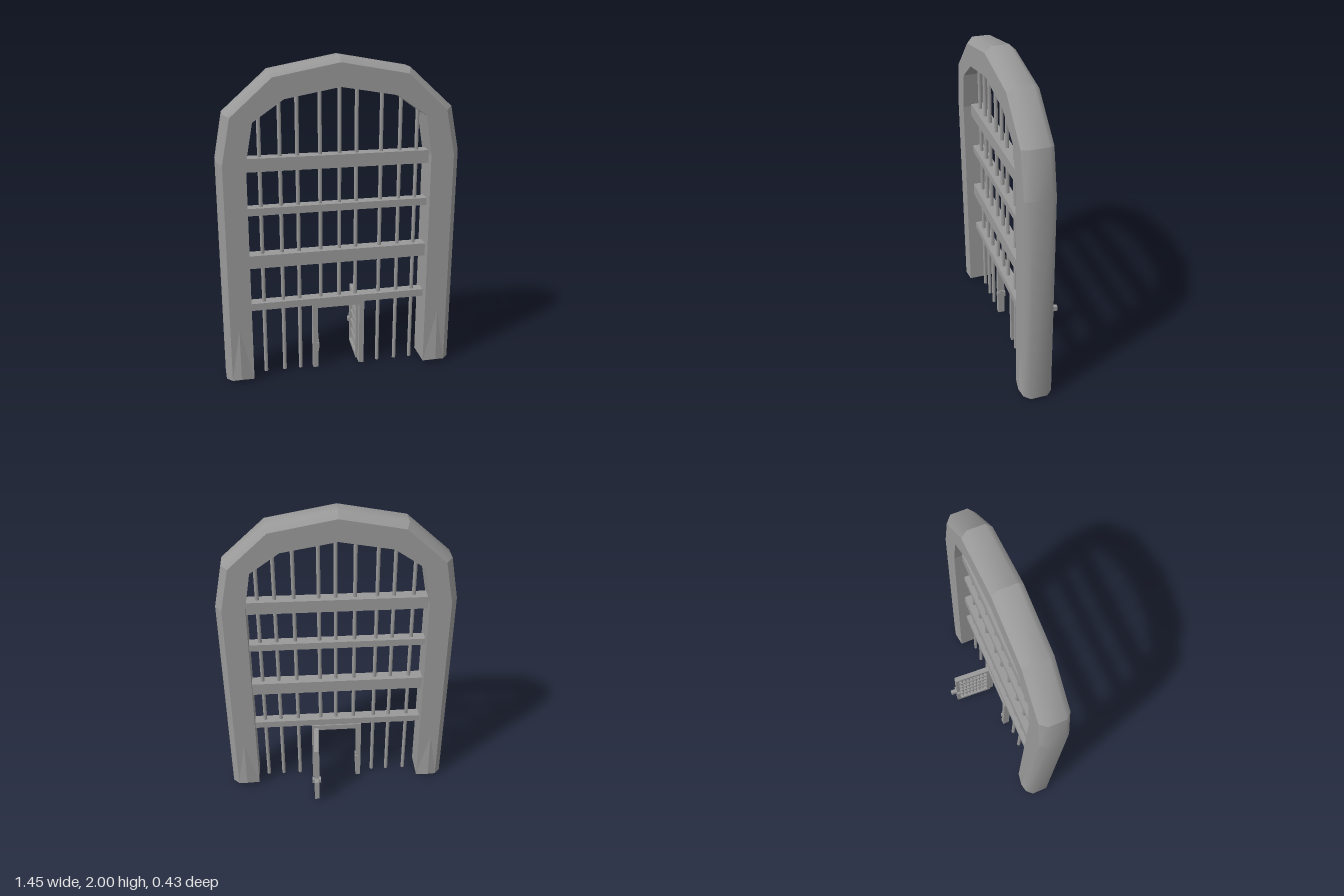
import * as THREE from 'three';
import { ConvexGeometry } from 'three/addons/geometries/ConvexGeometry.js';

const iron = new THREE.MeshStandardMaterial({ color: 0x999999 });
iron.name = 'grey iron';

function add(parent, name, geometry, x = 0, y = 0, z = 0) {
  const mesh = new THREE.Mesh(geometry, iron);
  mesh.name = name;
  mesh.position.set(x, y, z);
  parent.add(mesh);
  return mesh;
}

// Box given by its minimum and maximum corners
function box(parent, name, [x0, y0, z0], [x1, y1, z1]) {
  return add(parent, name, new THREE.BoxGeometry(x1 - x0, y1 - y0, z1 - z0),
    (x0 + x1) / 2, (y0 + y1) / 2, (z0 + z1) / 2);
}

function rod(parent, name, x, y0, y1, z, radius) {
  return add(parent, name, new THREE.CylinderGeometry(radius, radius, y1 - y0, 8), x, (y0 + y1) / 2, z);
}

// Arch stations from the left foot over the crown to the right foot
const outer = [[-0.8, 0.02], [-0.8, 1.42], [-0.75, 1.69], [-0.485, 1.925], [-0.08, 2],
  [0.335, 1.925], [0.595, 1.69], [0.65, 1.42], [0.65, 0.02]];
const bevel = [[-0.765, 0.02], [-0.765, 1.405], [-0.713, 1.675], [-0.47, 1.892], [-0.08, 1.965],
  [0.32, 1.892], [0.557, 1.675], [0.613, 1.405], [0.613, 0.02]];
const inner = [[-0.63, 0.02], [-0.63, 1.41], [-0.587, 1.645], [-0.405, 1.77], [-0.08, 1.828],
  [0.255, 1.77], [0.433, 1.645], [0.472, 1.41], [0.472, 0.02]];
const FRONT = 0.2, BACK = 0.02, MID = 0.11;

function archGeometry() {
  const pos = [], index = [];
  const section = k => [
    [...inner[k], FRONT], [...bevel[k], FRONT], [...outer[k], FRONT - 0.037],
    [...outer[k], BACK + 0.037], [...bevel[k], BACK], [...inner[k], BACK]];
  // Front, rounded rim, back and inside; only the rim shares vertices
  const strips = [[0, 1], [1, 2, 3, 4], [4, 5], [5, 0]];
  for (let k = 0; k < outer.length - 1; k++) {
    const a = section(k), b = section(k + 1);
    for (const strip of strips) {
      const start = pos.length / 3;
      for (const j of strip) pos.push(...a[j], ...b[j]);
      for (let j = 0; j < strip.length - 1; j++) {
        const p = start + 2 * j;
        index.push(p + 2, p, p + 1, p + 2, p + 1, p + 3);
      }
    }
  }
  // Soles of the two legs
  for (const cap of [section(0), section(outer.length - 1).reverse()]) {
    const start = pos.length / 3;
    cap.forEach(p => pos.push(...p));
    for (let j = 1; j < cap.length - 1; j++) index.push(start, start + j, start + j + 1);
  }
  const geometry = new THREE.BufferGeometry();
  geometry.setAttribute('position', new THREE.Float32BufferAttribute(pos, 3));
  geometry.setIndex(index);
  geometry.computeVertexNormals();
  return geometry;
}

// Height of the arch underside at x
function undersideAt(x) {
  for (let k = 1; k < inner.length - 2; k++) {
    const [x0, y0] = inner[k], [x1, y1] = inner[k + 1];
    if (x >= x0 && x <= x1) return y0 + (y1 - y0) * (x - x0) / (x1 - x0);
  }
  return 1.41;
}

export function createModel() {
  const model = new THREE.Group();
  model.name = 'archedGate';

  add(model, 'arch', archGeometry());

  // Shallow flares at the foot of each leg, front and back
  for (const [xIn, xMid, xOut] of [[-0.63, -0.71, -0.765], [0.472, 0.555, 0.613]]) {
    for (const [z, dir] of [[FRONT, 1], [BACK, -1]]) {
      const points = [[xIn, 0.02, z], [xOut, 0.02, z], [xMid, 0.03, z + dir * 0.014], [xMid, 0.37, z]];
      add(model, 'footFlare', new ConvexGeometry(points.map(p => new THREE.Vector3(...p))));
    }
  }

  // Horizontal rails
  for (const [y0, y1, half] of [[1.345, 1.425, 0.04], [1.077, 1.122, 0.035],
    [0.743, 0.825, 0.04], [0.462, 0.508, 0.035]]) {
    box(model, 'rail', [-0.635, y0, MID - half], [0.477, y1, MID + half]);
  }

  // Upright bars; the middle ones stop above the doorway
  for (const x of [-0.545, -0.425, -0.322, -0.187, -0.07, 0.033, 0.184, 0.3, 0.404]) {
    const overDoor = x > -0.24 && x < 0.1;
    rod(model, 'uprightBar', x, overDoor ? 0.46 : 0.018, undersideAt(x) + 0.03, MID, 0.012);
  }

  // Door frame
  const frame = new THREE.Group();
  frame.name = 'doorFrame';
  model.add(frame);
  box(frame, 'leftPost', [-0.238, 0.005, 0.067], [-0.206, 0.462, 0.112]);
  box(frame, 'rightPost', [0.063, 0.005, 0.067], [0.095, 0.462, 0.112]);
  box(frame, 'lintel', [-0.206, 0.425, 0.067], [0.063, 0.462, 0.112]);
  box(frame, 'latchPlate', [-0.21, 0.115, 0.075], [-0.199, 0.195, 0.104]);
  box(frame, 'latchCatch', [-0.222, 0.145, 0.06], [-0.2, 0.18, 0.118]);

  // Open door, modelled along -z from its hinge
  const door = new THREE.Group();
  door.name = 'door';
  door.position.set(0.065, 0, 0.08);
  door.rotation.y = -0.05;
  model.add(door);
  const L = 0.255, T = 0.016;
  box(door, 'hingeStile', [-T, 0.022, -0.024], [T, 0.442, 0]);
  box(door, 'latchStile', [-T, 0.022, -L], [T, 0.442, -L + 0.024]);
  box(door, 'topRail', [-T, 0.416, -L + 0.024], [T, 0.442, -0.024]);
  box(door, 'bottomRail', [-T, 0.022, -L + 0.024], [T, 0.048, -0.024]);
  for (const y of [0.118, 0.188, 0.258, 0.33]) {
    box(door, 'doorRail', [-0.01, y - 0.008, -L + 0.024], [0.01, y + 0.008, -0.024]);
  }
  for (let i = 1; i <= 7; i++) {
    rod(door, 'doorBar', 0, 0.04, 0.425, -0.024 - i * 0.026, 0.006);
  }
  // Lock and bolt
  box(door, 'lock', [-0.029, 0.176, -L - 0.005], [0.029, 0.202, -L + 0.026]);
  box(door, 'bolt', [-0.012, 0.172, -L - 0.04], [0.012, 0.208, -L]);

  return model;
}
